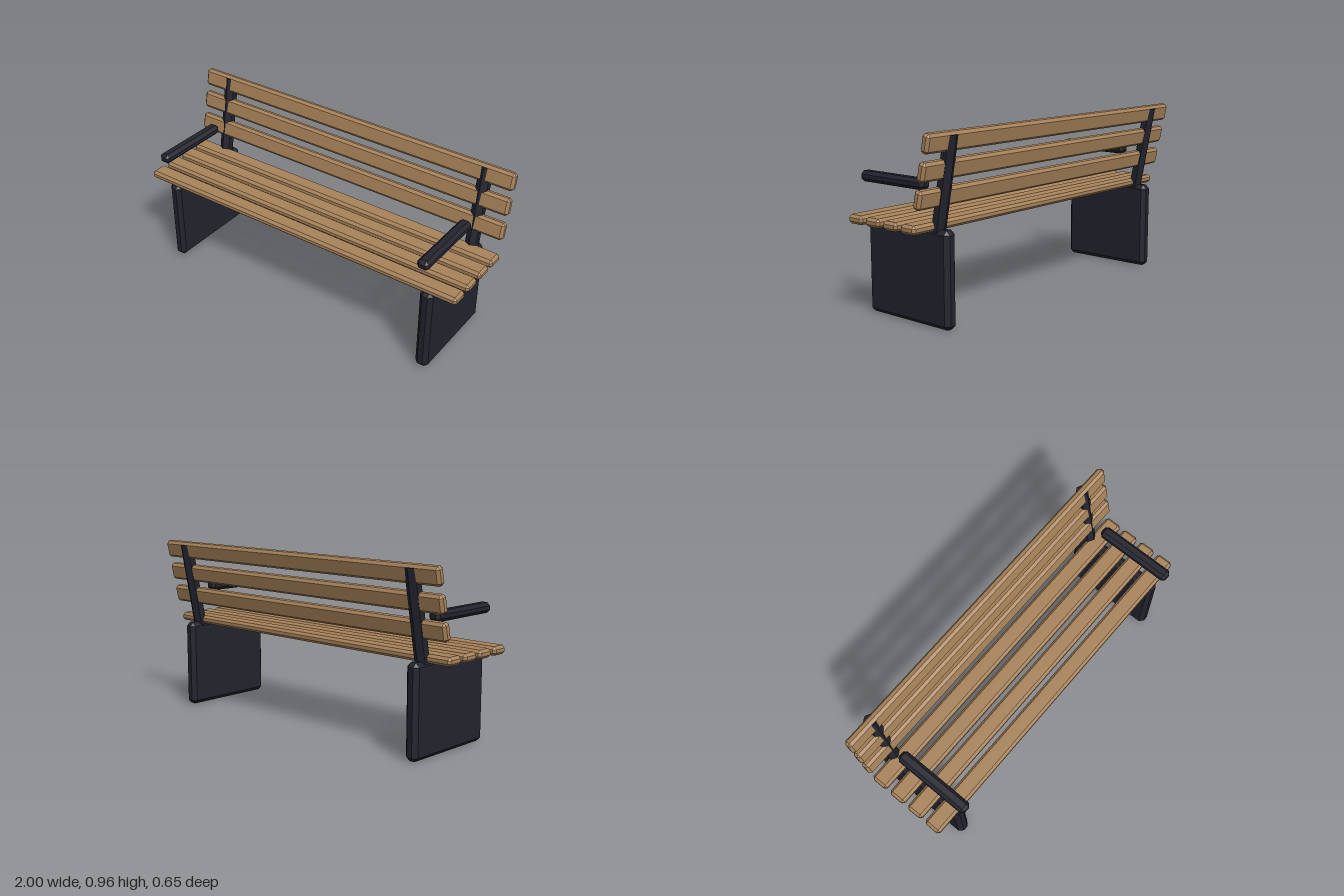
import * as THREE from 'three';
import { ConvexGeometry } from 'three/addons/geometries/ConvexGeometry.js';

// Box with every edge cut at 45 degrees
function chamferBox(w, h, d, c) {
  const points = [];
  for (const sx of [-1, 1]) for (const sy of [-1, 1]) for (const sz of [-1, 1]) {
    const x = w / 2, y = h / 2, z = d / 2;
    points.push(
      new THREE.Vector3(sx * x, sy * (y - c), sz * (z - c)),
      new THREE.Vector3(sx * (x - c), sy * y, sz * (z - c)),
      new THREE.Vector3(sx * (x - c), sy * (y - c), sz * z)
    );
  }
  return new ConvexGeometry(points);
}

export function createModel() {
  const bench = new THREE.Group();
  bench.name = 'bench';
  const wood = new THREE.MeshStandardMaterial({ color: 0xa8835a });
  wood.name = 'wood';
  const iron = new THREE.MeshStandardMaterial({ color: 0x22232d });
  iron.name = 'darkIron';

  function add(name, geometry, material, x, y, z, tilt = 0) {
    const mesh = new THREE.Mesh(geometry, material);
    mesh.name = name;
    mesh.position.set(x, y, z);
    mesh.rotation.x = tilt;
    bench.add(mesh);
  }

  // Seat slats, front to back
  const seatSlat = chamferBox(2, 0.046, 0.098, 0.014);
  for (let i = 0; i < 4; i++) {
    add('seatSlat' + (i + 1), seatSlat, wood, 0, 0.5, 0.214 - i * 0.1223);
  }

  // Leaning back slats, bottom to top
  const backSlat = chamferBox(2, 0.096, 0.048, 0.014);
  for (let i = 0; i < 3; i++) {
    add('backSlat' + (i + 1), backSlat, wood, 0, 0.646 + i * 0.1335, -0.219 - i * 0.0285, -0.21);
  }

  // Side panels, six-sided back posts and armrests, mirrored
  const panel = chamferBox(0.074, 0.488, 0.555, 0.022);
  const post = new THREE.CylinderGeometry(0.037, 0.037, 0.484, 6).toNonIndexed();
  post.computeVertexNormals();
  const arm = chamferBox(0.066, 0.055, 0.445, 0.017);
  for (const [side, s] of [['left', 1], ['right', -1]]) {
    add(side + 'LegPanel', panel, iron, s * 0.832, 0.244, -0.008);
    add(side + 'BackPost', post, iron, s * 0.832, 0.708, -0.241, -0.188);
    add(side + 'Armrest', arm, iron, s * 0.832, 0.69, 0.102);
  }
  return bench;
}
